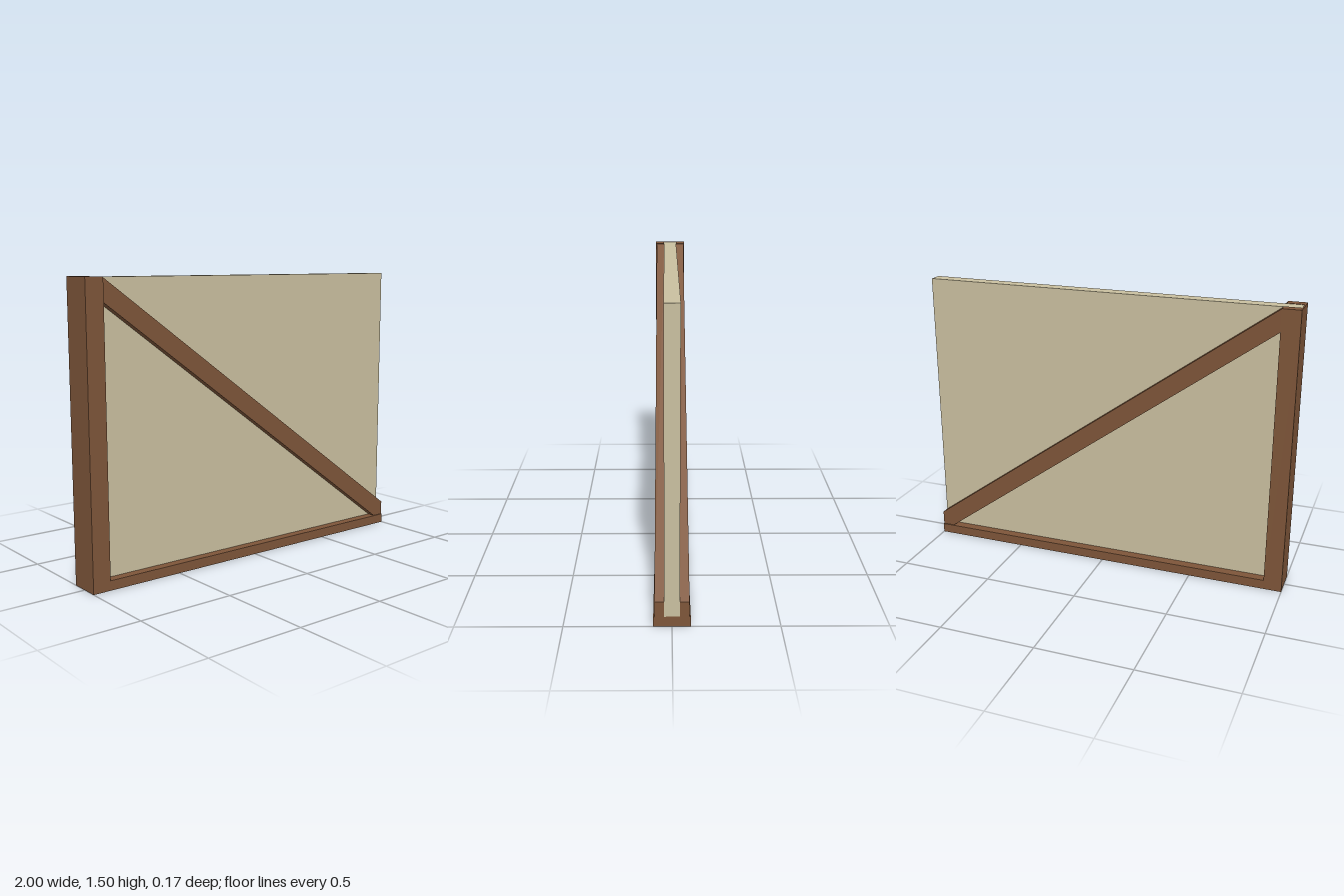
import * as THREE from 'three';

export function createModel() {
  const wall = new THREE.Group();
  wall.name = 'timberFramedWall';
  const timber = new THREE.MeshStandardMaterial({ color: 0x7d5539 });
  timber.name = 'brown timber';
  const plaster = new THREE.MeshStandardMaterial({ color: 0xc9bf9f });
  plaster.name = 'cream plaster';

  const half = 0.036; // half thickness of the panel
  const outer = 0.086; // half thickness of the frame
  const postX = -0.905;

  // Box given by its lower and upper corners
  function box(name, material, [x0, y0, z0], [x1, y1, z1]) {
    const mesh = new THREE.Mesh(new THREE.BoxGeometry(x1 - x0, y1 - y0, z1 - z0), material);
    mesh.position.set((x0 + x1) / 2, (y0 + y1) / 2, (z0 + z1) / 2);
    mesh.name = name;
    wall.add(mesh);
  }

  // Plaster panel, flush with the frame at the top and underneath
  box('panel', plaster, [-0.992, 0, -half], [0.992, 1.5, half]);
  box('panelEnd', plaster, [0.992, 0.05, -half], [1, 1.5, half]);

  // Thin end faces closing the post and the sill
  box('postOuterFace', timber, [-1, 0, -half], [-0.992, 1.502, half]);
  box('sillEndCap', timber, [0.992, 0, -half], [1, 0.05, half]);

  // Diagonal brace outline, from the post top to the sill end
  const brace = new THREE.Shape([
    [postX, 1.5], [postX, 1.385], [0.935, 0.05], [1, 0.05], [1, 0.125],
  ].map(([x, y]) => new THREE.Vector2(x, y)));
  const braceDepth = 0.08 - half;
  const braceGeometry = new THREE.ExtrudeGeometry(brace, { depth: braceDepth, bevelEnabled: false });

  // Timbers repeated on the front and the back
  for (const [side, label] of [[1, 'front'], [-1, 'back']]) {
    const z0 = side > 0 ? half : -outer;
    const z1 = side > 0 ? outer : -half;
    box(label + 'Post', timber, [-1, 0, z0], [postX, 1.502, z1]);
    box(label + 'Sill', timber, [postX, 0, z0], [1, 0.05, z1]);
    const mesh = new THREE.Mesh(braceGeometry, timber);
    mesh.position.z = side > 0 ? half : -half - braceDepth;
    mesh.name = label + 'Brace';
    wall.add(mesh);
  }
  return wall;
}
